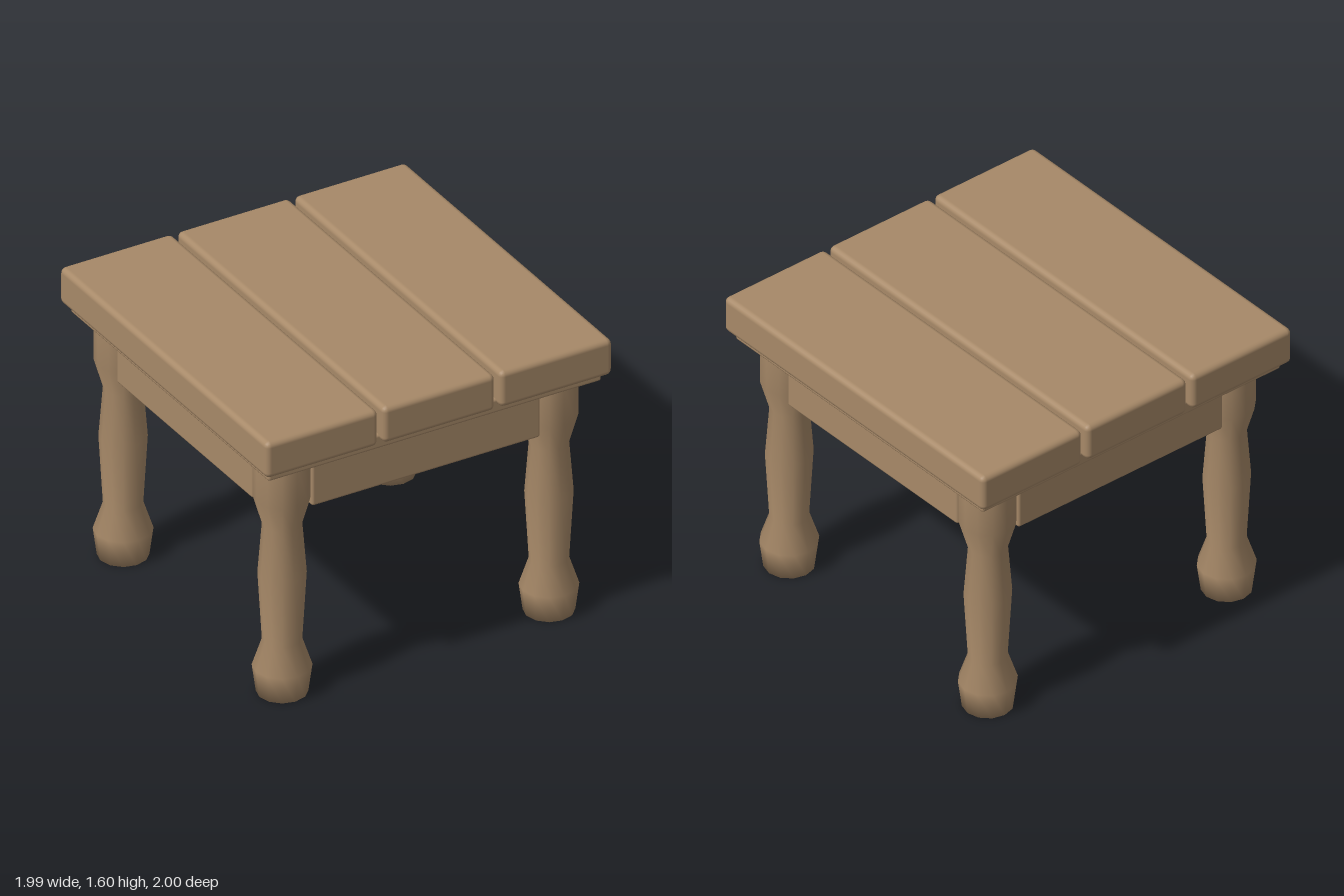
import * as THREE from 'three';
import { RoundedBoxGeometry } from 'three/addons/geometries/RoundedBoxGeometry.js';

export function createModel() {
  const table = new THREE.Group();
  table.name = 'table';
  const wood = new THREE.MeshStandardMaterial({ color: 0xa78968 });
  wood.name = 'wood';

  function add(name, geometry, x, y, z) {
    const mesh = new THREE.Mesh(geometry, wood);
    mesh.name = name;
    mesh.position.set(x, y, z);
    table.add(mesh);
    return mesh;
  }

  // Three thick planks with softened edges
  const plank = new RoundedBoxGeometry(0.643, 0.205, 2, 2, 0.03);
  ['rightPlank', 'middlePlank', 'leftPlank'].forEach((name, i) => {
    add(name, plank, (i - 1) * 0.671, 1.4925, 0);
  });

  // Thin slab that carries the planks
  add('underTop', new RoundedBoxGeometry(1.91, 0.08, 1.91, 2, 0.015), 0, 1.385, 0);

  // Apron rails between the legs
  const rail = new RoundedBoxGeometry(1.31, 0.275, 0.21, 2, 0.015);
  ['frontApron', 'leftApron', 'backApron', 'rightApron'].forEach((name, i) => {
    const a = (i * Math.PI) / 2;
    add(name, rail, Math.sin(a) * 0.765, 1.2075, Math.cos(a) * 0.765).rotation.y = a;
  });

  // Turned legs: radius and height from foot to top
  const profile = [
    [0, 0], [0.13, 0], [0.15, 0.15], [0.1, 0.3], [0.122, 0.68],
    [0.1, 0.96], [0.146, 1.12], [0.146, 1.36],
  ].map(([r, y]) => new THREE.Vector2(r, y));
  const leg = new THREE.LatheGeometry(profile, 12);
  for (const [xName, sx] of [['Left', 1], ['Right', -1]]) {
    for (const [zName, sz] of [['front', 1], ['back', -1]]) {
      add(`${zName}${xName}Leg`, leg, sx * 0.765, 0, sz * 0.765);
    }
  }

  return table;
}
